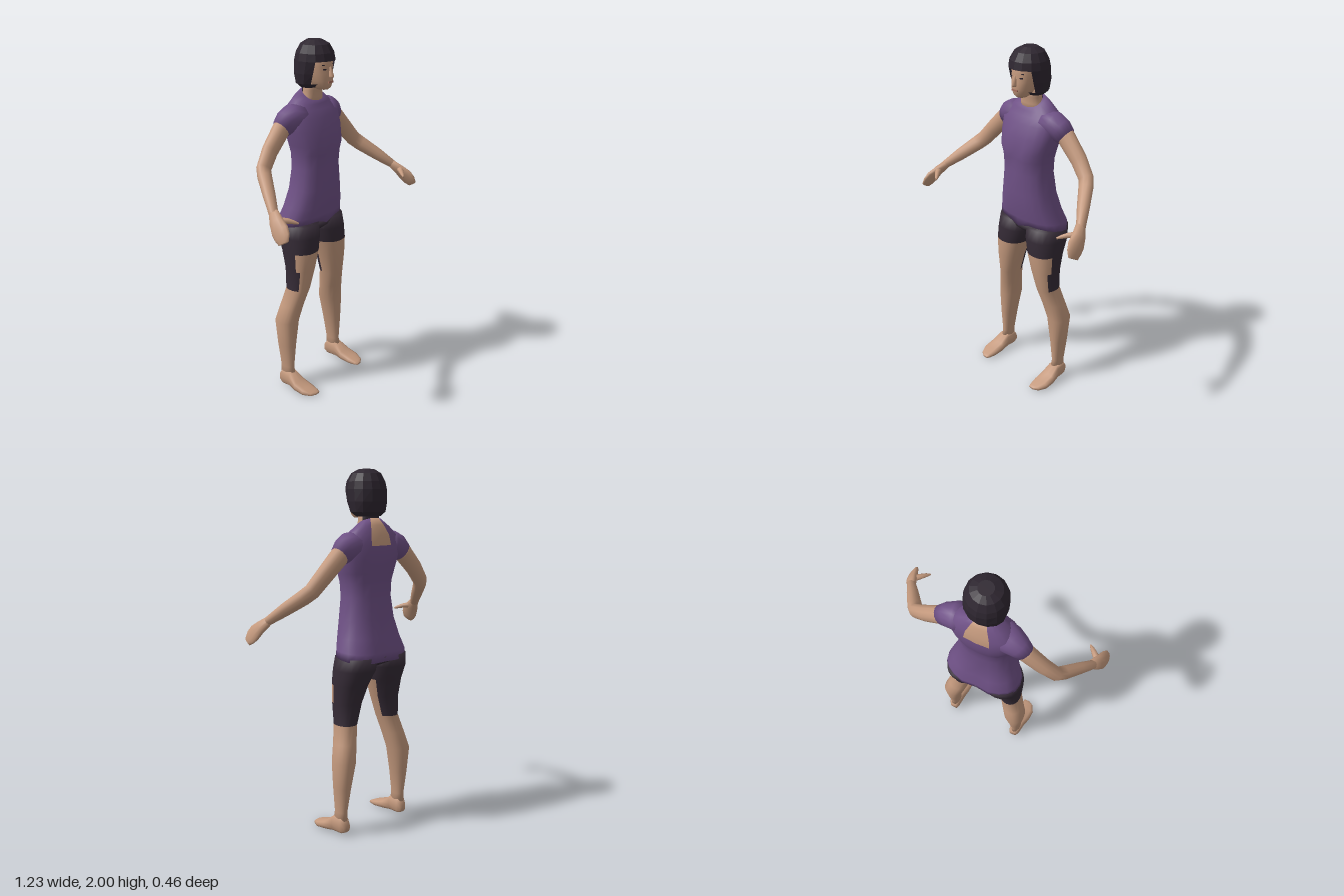
import * as THREE from 'three';

const material = (name, color) => {
  const m = new THREE.MeshStandardMaterial({ color, side: THREE.DoubleSide });
  m.name = name;
  return m;
};

// Superellipse point: p < 1 makes the ring boxier
const bow = (v, p) => Math.sign(v) * Math.abs(v) ** p;

// Horizontal ring; tilt lifts the front and drops the back
function ring(y, x0, x1, zFront, zBack, tilt = 0, p = 0.9, n = 20) {
  return Array.from({ length: n }, (_, j) => {
    const a = (j / n) * Math.PI * 2;
    const s = bow(Math.sin(a), p), c = bow(Math.cos(a), p);
    return new THREE.Vector3((x0 + x1) / 2 + s * (x1 - x0) / 2, y + tilt * c,
      (zFront + zBack) / 2 + c * (zFront - zBack) / 2);
  });
}

// Upright ring across the foot
function footRing([z, x0, x1, y0, y1], n = 12) {
  return Array.from({ length: n }, (_, j) => {
    const a = (j / n) * Math.PI * 2;
    return new THREE.Vector3((x0 + x1) / 2 + bow(Math.cos(a), 0.7) * (x1 - x0) / 2,
      (y0 + y1) / 2 + bow(Math.sin(a), 0.7) * (y1 - y0) / 2, z);
  });
}

// Rings along a limb: [x, y, z, depth radius, thickness radius]
function limb(path, n = 12) {
  const pts = path.map(([x, y, z]) => new THREE.Vector3(x, y, z));
  return path.map(([, , , ru, rv], i) => {
    const t = pts[Math.min(i + 1, pts.length - 1)].clone().sub(pts[Math.max(i - 1, 0)]).normalize();
    const u = new THREE.Vector3(0, 0, 1).addScaledVector(t, -t.z).normalize();
    const v = t.clone().cross(u);
    return Array.from({ length: n }, (_, j) => {
      const a = (j / n) * Math.PI * 2;
      return pts[i].clone().addScaledVector(u, ru * Math.cos(a)).addScaledVector(v, rv * Math.sin(a));
    });
  });
}

// Skin closed over rings; pick(centroid) chooses a material index, or -1 to leave a hole
function loft(name, rings, mats, { side = 1, pick = () => 0, flat = false } = {}) {
  const n = rings[0].length, rows = rings.length;
  const pts = rings.flat().map((p) => p.clone());
  for (const r of [rings[0], rings[rows - 1]]) {
    pts.push(r.reduce((s, p) => s.add(p), new THREE.Vector3()).divideScalar(n));
  }
  const buckets = mats.map(() => []);
  const face = (...ids) => {
    const c = ids.reduce((s, k) => s.add(pts[k]), new THREE.Vector3()).divideScalar(ids.length);
    const m = pick(c);
    if (m < 0) return;
    const f = side < 0 ? ids.reverse() : ids;
    for (let k = 1; k < f.length - 1; k++) buckets[m].push(f[0], f[k], f[k + 1]);
  };
  for (let j = 0; j < n; j++) {
    const k = (j + 1) % n;
    for (let i = 0; i < rows - 1; i++) face(i * n + j, i * n + k, (i + 1) * n + k, (i + 1) * n + j);
    face(rows * n, k, j);
    face(rows * n + 1, (rows - 1) * n + j, (rows - 1) * n + k);
  }
  let g = new THREE.BufferGeometry();
  g.setAttribute('position', new THREE.Float32BufferAttribute(pts.flatMap((p) => [p.x * side, p.y, p.z]), 3));
  g.setIndex(buckets.flat());
  if (flat) g = g.toNonIndexed();
  g.computeVertexNormals();
  let start = 0;
  buckets.forEach((b, m) => {
    if (b.length) g.addGroup(start, b.length, m);
    start += b.length;
  });
  const mesh = new THREE.Mesh(g, mats);
  mesh.name = name;
  return mesh;
}

export function createModel() {
  const skin = material('skin', 0xc59a7e);
  const shirt = material('purple shirt', 0x6f5186);
  const shorts = material('dark shorts', 0x352b36);
  const hair = material('dark hair', 0x2e2630);
  const lips = material('lips', 0xa8705f);
  const model = new THREE.Group();

  // Shirt body: [y, half width, front z, back z, tilt], with a bare patch at the upper back
  const bodyRings = [
    [0.995, 0.222, 0.012, -0.24, 0.022], [1.035, 0.215, 0.018, -0.243, 0.012], [1.1, 0.193, 0.03, -0.215],
    [1.2, 0.166, 0.038, -0.19], [1.32, 0.149, 0.036, -0.177], [1.4, 0.153, 0.042, -0.18],
    [1.45, 0.166, 0.051, -0.19], [1.53, 0.184, 0.03, -0.204], [1.6, 0.19, 0.004, -0.2],
    [1.645, 0.175, -0.02, -0.188, -0.01], [1.685, 0.125, -0.036, -0.165, -0.022],
    [1.712, 0.083, -0.045, -0.14, -0.032],
  ].map(([y, w, f, b, t]) => ring(y, -w, w, f, b, t, 0.85));
  // Soft centre lines between the bust and between the buttocks
  bodyRings.flat().forEach((p) => {
    if (Math.abs(p.x) > 0.01) return;
    if (p.z > 0.04) p.z -= 0.012;
    if (p.z < -0.21) p.z += 0.014;
    if (p.z > 0 && p.y < 1.03) p.y -= 0.025;
  });
  model.add(loft('shirtBody', bodyRings, [shirt, skin], {
    pick: (c) => (c.z < -0.13 && c.y > 1.61 && Math.abs(c.x) < 0.045 ? 1 : 0),
  }));

  // Shorts between the legs
  model.add(loft('shortsSeat', [
    ring(0.94, -0.06, 0.06, -0.04, -0.16), ring(0.965, -0.15, 0.15, -0.01, -0.215),
    ring(1.0, -0.21, 0.21, 0.004, -0.23),
  ], [shorts]));

  // Neck with hair at the nape
  model.add(loft('neck', [
    ring(1.65, -0.08, 0.08, -0.045, -0.14), ring(1.7, -0.068, 0.068, -0.045, -0.142),
    ring(1.735, -0.06, 0.06, -0.043, -0.138), ring(1.8, -0.06, 0.06, -0.035, -0.14),
  ], [skin, hair], { pick: (c) => (c.y > 1.715 && c.z < -0.105 ? 1 : 0) }));

  // Face: [y, half width, front z, back z]
  model.add(loft('head', [
    [1.743, 0.026, 0.012, -0.05], [1.757, 0.042, 0.028, -0.08], [1.79, 0.058, 0.036, -0.11],
    [1.83, 0.069, 0.033, -0.13], [1.87, 0.074, 0.03, -0.14], [1.92, 0.074, 0.026, -0.14], [1.96, 0.05, 0, -0.12],
  ].map(([y, w, f, b]) => ring(y, -w, w, f, b)), [skin]));
  model.add(loft('nose', [
    ring(1.808, -0.013, 0.013, 0.05, 0.02, 0, 1, 6), ring(1.817, -0.014, 0.014, 0.057, 0.02, 0, 1, 6),
    ring(1.865, -0.006, 0.006, 0.036, 0.02, 0, 1, 6),
  ], [skin]));
  const plate = (name, w, h, x, y, z, turn, mat) => {
    const m = new THREE.Mesh(new THREE.BoxGeometry(w, h, 0.006), mat);
    m.position.set(x, y, z);
    m.rotation.y = turn;
    m.name = name;
    model.add(m);
  };
  plate('mouth', 0.04, 0.01, 0, 1.786, 0.034, 0, lips);
  for (const s of [-1, 1]) {
    plate('eye', 0.022, 0.007, s * 0.033, 1.853, 0.021, s * 0.35, hair);
    plate('eyebrow', 0.03, 0.005, s * 0.034, 1.875, 0.018, s * 0.35, hair);
  }

  // Bobbed hair, open around the face and underneath
  model.add(loft('hair', [
    [1.752, 0.075, -0.035, -0.145], [1.775, 0.104, -0.005, -0.168], [1.83, 0.112, 0.022, -0.183],
    [1.895, 0.111, 0.042, -0.184], [1.935, 0.104, 0.034, -0.174], [1.978, 0.08, 0.008, -0.15],
    [2.0, 0.04, -0.035, -0.115],
  ].map(([y, w, f, b]) => ring(y, -w, w, f, b, 0, 1, 14)), [hair], {
    flat: true,
    pick: (c) => ((c.y < 1.89 && c.z > -0.03 && Math.abs(c.x) < 0.1) || c.y < 1.757 ? -1 : 0),
  }));

  // Limbs, mirrored on both sides
  for (const side of [1, -1]) {
    const label = side > 0 ? 'left' : 'right';
    const add = (part, rings, mats, pick) => model.add(loft(label + part, rings, mats, { side, pick }));

    add('Sleeve', limb([
      [0.1, 1.605, -0.1, 0.08, 0.07], [0.15, 1.6, -0.108, 0.076, 0.074],
      [0.192, 1.582, -0.115, 0.063, 0.069], [0.228, 1.553, -0.12, 0.05, 0.058],
    ], 16), [shirt]);

    add('Arm', limb([
      [0.2, 1.577, -0.115, 0.045, 0.053], [0.235, 1.547, -0.119, 0.046, 0.054],
      [0.33, 1.456, -0.114, 0.041, 0.049], [0.4, 1.378, -0.098, 0.037, 0.045],
      [0.43, 1.345, -0.065, 0.037, 0.043], [0.49, 1.28, 0.015, 0.032, 0.036],
      [0.548, 1.215, 0.092, 0.025, 0.023],
    ]), [skin]);

    add('Hand', limb([
      [0.54, 1.222, 0.085, 0.026, 0.022], [0.566, 1.185, 0.125, 0.04, 0.024],
      [0.582, 1.152, 0.16, 0.052, 0.021], [0.592, 1.125, 0.183, 0.048, 0.016],
      [0.602, 1.1, 0.2, 0.032, 0.01],
    ]), [skin]);

    add('Thumb', limb([
      [0.56, 1.195, 0.13, 0.02, 0.017], [0.525, 1.188, 0.165, 0.015, 0.014],
      [0.505, 1.18, 0.187, 0.011, 0.01], [0.489, 1.172, 0.204, 0.005, 0.005],
    ], 8), [skin]);

    // Leg: [y, inner x, outer x, front z, back z], shorts longer at the side and back
    add('Leg', [
      [0.08, 0.192, 0.25, -0.06, -0.152], [0.13, 0.195, 0.245, -0.068, -0.153], [0.27, 0.175, 0.259, -0.06, -0.172],
      [0.42, 0.145, 0.27, -0.053, -0.19], [0.52, 0.121, 0.244, -0.035, -0.167], [0.62, 0.098, 0.216, -0.008, -0.146],
      [0.74, 0.062, 0.219, 0.01, -0.155], [0.845, 0.03, 0.222, 0.02, -0.185], [0.93, 0.003, 0.224, 0.017, -0.225],
      [1.0, 0.002, 0.215, 0.008, -0.232],
    ].map(([y, a, b, f, k]) => ring(y, a, b, f, k)), [skin, shorts], (c) => {
      if (c.y > 0.845) return 1;
      const inner = c.x < 0.1 + (0.8 - c.y) * 0.25;
      return c.y > 0.62 && c.z < (inner ? -0.1 : -0.036) ? 1 : 0;
    });

    // Foot: [z, inner x, outer x, bottom y, top y]
    add('Foot', [
      [-0.157, 0.195, 0.242, 0.02, 0.075], [-0.135, 0.187, 0.255, 0.008, 0.105], [-0.075, 0.182, 0.264, 0.01, 0.105],
      [-0.02, 0.176, 0.276, 0.004, 0.062], [0.04, 0.176, 0.278, 0, 0.041], [0.085, 0.184, 0.256, 0.002, 0.026],
      [0.101, 0.192, 0.228, 0.006, 0.019],
    ].map((r) => footRing(r)), [skin]);
  }
  return model;
}
